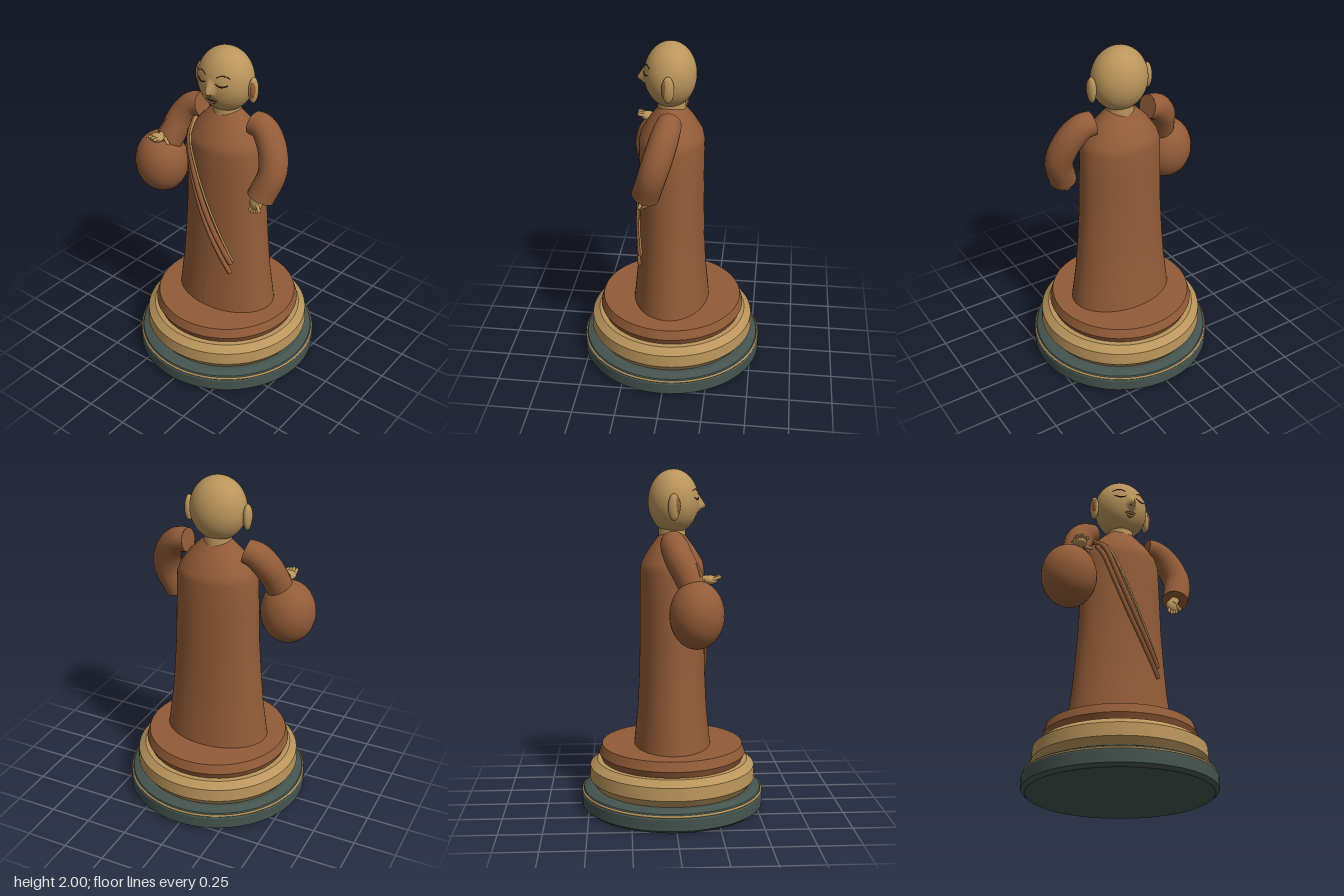
import * as THREE from 'three';

const mat = (name, color, side = THREE.FrontSide) => {
  const m = new THREE.MeshStandardMaterial({ color, side });
  m.name = name;
  return m;
};
const V = (p) => new THREE.Vector3(...p);

export function createModel() {
  const model = new THREE.Group();
  model.name = 'standingFigure';
  const brown = mat('robeBrown', 0x935c38);
  const gold = mat('paleGold', 0xba955c);
  const slate = mat('slate', 0x45544f);
  const dark = mat('darkLine', 0x4a2c1a);

  const add = (name, geometry, material, parent = model) => {
    const m = new THREE.Mesh(geometry, material);
    m.name = name;
    parent.add(m);
    return m;
  };
  const ball = (name, c, s, material, parent) => {
    const m = add(name, new THREE.SphereGeometry(1, 32, 24), material, parent);
    m.position.set(...c);
    m.scale.set(...s);
    return m;
  };
  // capped sweep whose radius runs linearly through the list of radii
  const sweep = (name, points, radii, material, parent = model, segs = 32, sides = 24) => {
    const group = new THREE.Group();
    group.name = name;
    parent.add(group);
    const curve = new THREE.CatmullRomCurve3(points.map(V));
    const g = new THREE.TubeGeometry(curve, segs, 1, sides, false);
    const pos = g.attributes.position;
    const radiusAt = (t) => {
      const f = t * (radii.length - 1), i = Math.min(Math.floor(f), radii.length - 2);
      return THREE.MathUtils.lerp(radii[i], radii[i + 1], f - i);
    };
    const v = new THREE.Vector3();
    for (let i = 0; i < pos.count; i++) {
      const t = Math.floor(i / (sides + 1)) / segs;
      const c = curve.getPointAt(t);
      v.fromBufferAttribute(pos, i).sub(c).multiplyScalar(radiusAt(t)).add(c);
      pos.setXYZ(i, v.x, v.y, v.z);
    }
    add(name + 'Side', g, material, group);
    for (const t of [0, 1]) {
      const cap = add(name + 'Cap', new THREE.CircleGeometry(radiusAt(t), sides), material, group);
      cap.position.copy(curve.getPointAt(t));
      const dir = curve.getTangentAt(t).multiplyScalar(t ? 1 : -1);
      cap.quaternion.setFromUnitVectors(new THREE.Vector3(0, 0, 1), dir);
    }
    return group;
  };
  // rounded finger between two points
  const finger = (name, a, b, r, parent) => {
    const A = V(a), B = V(b), d = B.clone().sub(A);
    const m = add(name, new THREE.CapsuleGeometry(r, d.length(), 5, 10), gold, parent);
    m.position.copy(A).add(B).multiplyScalar(0.5);
    m.quaternion.setFromUnitVectors(new THREE.Vector3(0, 1, 0), d.normalize());
  };

  // Round stepped pedestal; each straight run gets its own lathe so edges stay crisp
  const tier = (name, profile, material) => {
    const g = new THREE.Group();
    g.name = name;
    model.add(g);
    for (let i = 0; i < profile.length - 1; i++) {
      const pts = [profile[i], profile[i + 1]].map((p) => new THREE.Vector2(...p));
      add(name + 'Band', new THREE.LatheGeometry(pts, 64), material, g);
    }
  };
  tier('pedestalFoot', [[0, 0], [0.525, 0], [0.547, 0.018], [0.547, 0.085], [0.53, 0.112], [0.49, 0.128], [0, 0.128]], slate);
  tier('pedestalMiddle', [[0, 0.125], [0.46, 0.125], [0.497, 0.175], [0.492, 0.25], [0.45, 0.285], [0, 0.285]], gold);
  tier('pedestalTop', [[0, 0.28], [0.42, 0.285], [0.438, 0.325], [0.42, 0.38], [0, 0.38]], brown);
  const trim = add('pedestalTrim', new THREE.TorusGeometry(0.537, 0.007, 8, 64), gold);
  trim.rotation.x = Math.PI / 2;
  trim.position.y = 0.098;

  // Robe: stacked ellipses [y, half width, half depth]
  const rings = [[0.375, 0.32, 0.228], [0.6, 0.29, 0.205], [0.8, 0.272, 0.195], [1.0, 0.258, 0.19],
    [1.25, 0.25, 0.188], [1.42, 0.243, 0.188], [1.47, 0.225, 0.178], [1.55, 0.17, 0.13], [1.61, 0.11, 0.085], [1.64, 0.075, 0.065]];
  const robeAt = (y) => {
    let i = 0;
    while (i < rings.length - 2 && y > rings[i + 1][0]) i++;
    const [a, b] = [rings[i], rings[i + 1]], t = (y - a[0]) / (b[0] - a[0]);
    return [THREE.MathUtils.lerp(a[1], b[1], t), THREE.MathUtils.lerp(a[2], b[2], t)];
  };
  const robe = new THREE.LatheGeometry(rings.map((r) => new THREE.Vector2(1, r[0])), 64);
  const rp = robe.attributes.position;
  for (let i = 0; i < rp.count; i++) {
    const [rx, rz] = robeAt(rp.getY(i));
    rp.setX(i, rp.getX(i) * rx);
    rp.setZ(i, rp.getZ(i) * rz);
  }
  robe.computeVertexNormals();
  add('robe', robe, brown);

  // Diagonal folds lying on the robe front
  const fold = (name, a, b, sag, r, material) => {
    const pts = [];
    for (let i = 0; i <= 12; i++) {
      const t = i / 12, s = sag * Math.sin(Math.PI * t);
      const x = THREE.MathUtils.lerp(a[0], b[0], t) - s, y = THREE.MathUtils.lerp(a[1], b[1], t) - s * 0.4;
      const [rx, rz] = robeAt(y);
      pts.push([x, y, rz * Math.sqrt(Math.max(0.05, 1 - (x / rx) ** 2)) + 0.004]);
    }
    sweep(name, pts, [r, r], material, model, 48, 10);
  };
  fold('lowerFold', [-0.2, 1.47], [0.155, 0.655], 0.03, 0.014, brown);
  fold('upperFold', [-0.195, 1.53], [0.155, 0.72], 0.025, 0.016, brown);
  fold('foldTrim', [-0.19, 1.54], [0.165, 0.74], 0.006, 0.006, gold);

  // Neck and head; the nose is drawn out of the face
  const neck = add('neck', new THREE.CylinderGeometry(0.078, 0.08, 0.09, 32), gold);
  neck.position.y = 1.655;
  const HY = 1.815, HX = 0.165, HR = 0.185, HZ = 0.147, OZ = 0.008;
  const nose = (x, y) => {
    const dy = (y - 1.787) / (y > 1.787 ? 0.075 : 0.04);
    return 0.045 * Math.max(0, 1 - Math.hypot(x / 0.036, dy)) ** 1.2;
  };
  const faceZ = (x, y) => OZ + HZ * Math.sqrt(Math.max(0, 1 - (x / HX) ** 2 - ((y - HY) / HR) ** 2)) + nose(x, y);
  const head = new THREE.SphereGeometry(1, 96, 72);
  head.scale(HX, HR, HZ).translate(0, HY, OZ);
  const hp = head.attributes.position;
  for (let i = 0; i < hp.count; i++) {
    if (hp.getZ(i) > OZ + 0.05) hp.setZ(i, hp.getZ(i) + nose(hp.getX(i), hp.getY(i)));
  }
  head.computeVertexNormals();
  add('head', head, gold);

  // Face lines: centre x, y, half width, rise
  const faceLine = (name, cx, cy, w, rise, r, material) => {
    const pts = [];
    for (let i = 0; i <= 8; i++) {
      const u = i / 4 - 1, x = cx + u * w, y = cy + rise * (1 - u * u);
      pts.push([x, y, faceZ(x, y) + 0.001]);
    }
    sweep(name, pts, [r * 0.5, r, r * 0.5], material, model, 16, 8);
  };
  for (const s of [-1, 1]) {
    const side = s > 0 ? 'left' : 'right';
    faceLine(side + 'Brow', s * 0.072, 1.873, 0.036, 0.014, 0.003, dark);
    faceLine(side + 'Eyelid', s * 0.068, 1.84, 0.033, -0.012, 0.0045, dark);
    ball(side + 'Nostril', [s * 0.014, 1.773, faceZ(s * 0.014, 1.773)], [0.004, 0.003, 0.003], dark);
    ball(side + 'Ear', [s * 0.18, 1.79, 0.002], [0.024, 0.076, 0.034], gold);
    ball(side + 'EarHollow', [s * 0.188, 1.795, 0.016], [0.014, 0.052, 0.023], brown);
  }
  faceLine('upperLip', 0, 1.737, 0.032, 0.004, 0.005, gold);
  faceLine('mouth', 0, 1.731, 0.036, -0.004, 0.003, dark);
  faceLine('lowerLip', 0, 1.718, 0.024, -0.004, 0.005, gold);
  faceLine('chinLine', 0, 1.709, 0.018, -0.003, 0.0018, dark);

  // Left arm hanging, with an open hand
  sweep('leftSleeve', [[0.185, 1.593, -0.005], [0.25, 1.583, 0], [0.325, 1.5, 0.025], [0.362, 1.37, 0.065], [0.318, 1.215, 0.112]],
    [0.07, 0.08, 0.082, 0.08, 0.08], brown);
  const leftHand = new THREE.Group();
  leftHand.name = 'leftHand';
  model.add(leftHand);
  sweep('leftWrist', [[0.32, 1.24, 0.105], [0.305, 1.2, 0.115], [0.295, 1.18, 0.118]], [0.03, 0.03], gold, leftHand);
  ball('leftPalm', [0.293, 1.17, 0.12], [0.04, 0.045, 0.026], gold, leftHand);
  for (let i = 0; i < 4; i++) {
    finger('leftFinger', [0.268 + i * 0.017, 1.148, 0.125], [0.262 + i * 0.016, 1.115 + Math.abs(i - 1) * 0.006, 0.135], 0.009, leftHand);
  }
  finger('leftThumb', [0.31, 1.18, 0.135], [0.332, 1.145, 0.145], 0.01, leftHand);

  // Right arm resting on a round sack
  sweep('rightSleeve', [[-0.18, 1.593, -0.005], [-0.24, 1.575, 0], [-0.295, 1.51, 0.025], [-0.325, 1.43, 0.065], [-0.345, 1.355, 0.1]],
    [0.07, 0.08, 0.082, 0.08, 0.08], brown);
  ball('sack', [-0.393, 1.21, 0.117], [0.163, 0.19, 0.153], brown);
  const rightHand = new THREE.Group();
  rightHand.name = 'rightHand';
  model.add(rightHand);
  sweep('rightWrist', [[-0.345, 1.385, 0.1], [-0.355, 1.392, 0.14], [-0.36, 1.4, 0.18]], [0.03, 0.03], gold, rightHand);
  ball('rightPalm', [-0.362, 1.402, 0.19], [0.042, 0.026, 0.042], gold, rightHand);
  for (let i = 0; i < 4; i++) {
    finger('rightFinger', [-0.392 + i * 0.019, 1.408, 0.205], [-0.39 + i * 0.018, 1.425 - Math.abs(i - 1) * 0.005, 0.24], 0.0095, rightHand);
  }
  finger('rightThumb', [-0.325, 1.4, 0.165], [-0.285, 1.385, 0.185], 0.01, rightHand);
  finger('sackCord', [-0.39, 1.425, 0.135], [-0.355, 1.49, 0.115], 0.004, rightHand);
  return model;
}
